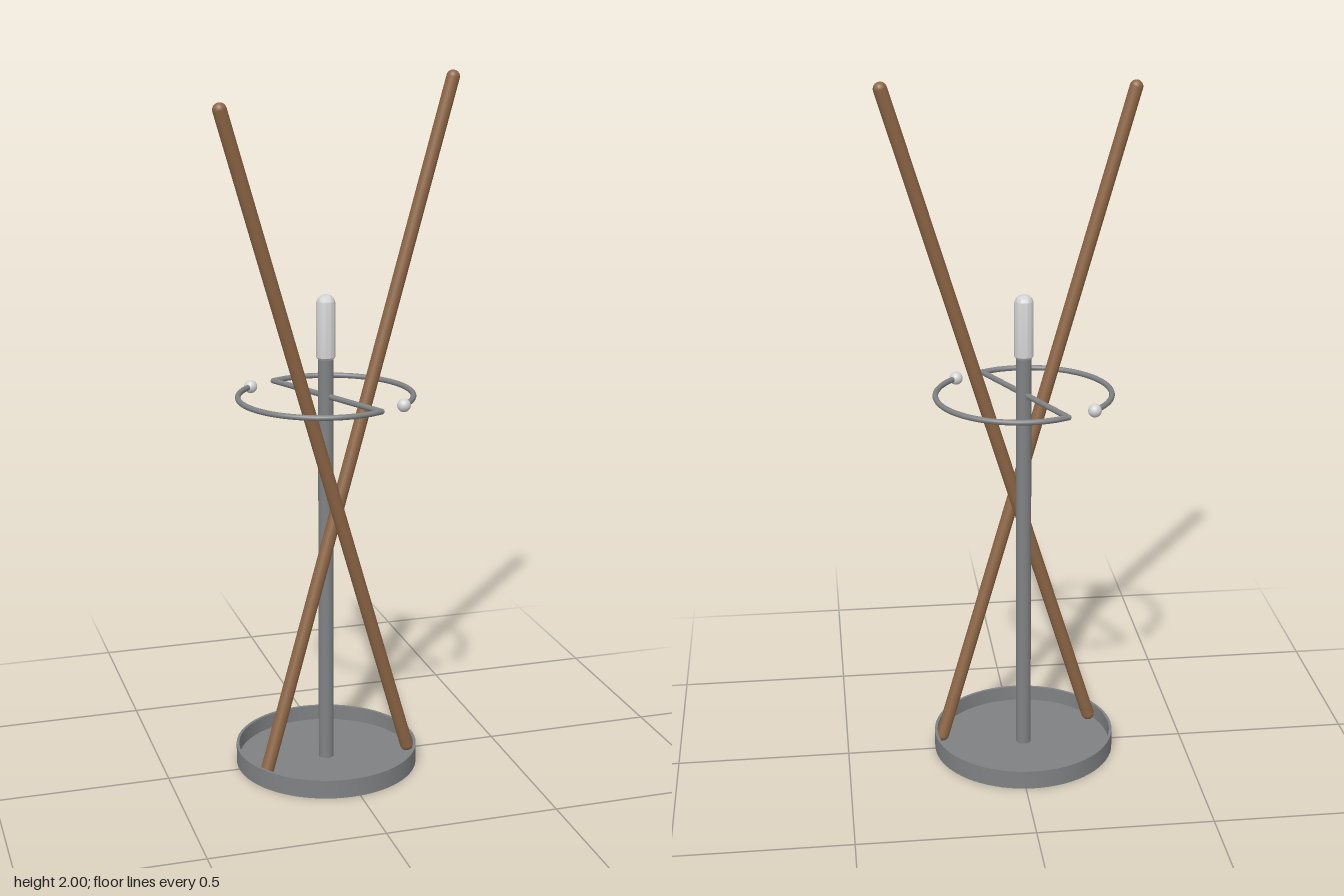
import * as THREE from 'three';
import { toCreasedNormals } from 'three/addons/utils/BufferGeometryUtils.js';

export function createModel() {
  const root = new THREE.Group();
  root.name = 'caneStand';
  const material = (name, color) => {
    const m = new THREE.MeshStandardMaterial({ color });
    m.name = name;
    return m;
  };
  const metal = material('grey metal', 0x7f8183);
  const pale = material('pale grip', 0xd2d2d2);
  const wood = material('brown wood', 0x8d6645);

  const add = (parent, name, geometry, mat, x = 0, y = 0, z = 0) => {
    const mesh = new THREE.Mesh(geometry, mat);
    mesh.name = name;
    mesh.position.set(x, y, z);
    parent.add(mesh);
    return mesh;
  };
  const lathe = (points, segments) => toCreasedNormals(
    new THREE.LatheGeometry(points.map(([r, y]) => new THREE.Vector2(r, y)), segments), 0.6);
  // Round-ended rod between two end centres
  const rod = (parent, name, from, to, radius, mat) => {
    const a = new THREE.Vector3(...from), b = new THREE.Vector3(...to);
    const dir = b.clone().sub(a);
    const mesh = add(parent, name, new THREE.CapsuleGeometry(radius, dir.length(), 8, 24), mat);
    mesh.position.copy(a).add(b).multiplyScalar(0.5);
    mesh.quaternion.setFromUnitVectors(new THREE.Vector3(0, 1, 0), dir.normalize());
    return mesh;
  };

  const stand = new THREE.Group();
  stand.name = 'stand';
  stand.position.x = -0.024;
  root.add(stand);

  // Shallow tray with a thin rim
  add(stand, 'tray', lathe([
    [0, 0], [0.265, 0], [0.265, 0.055], [0.257, 0.055], [0.257, 0.01], [0, 0.01],
  ], 72), metal);

  // Central pole and rounded grip
  add(stand, 'pole', new THREE.CylinderGeometry(0.022, 0.022, 1.22, 32), metal, 0, 0.615, 0);
  const grip = [[0, 1.215], [0.022, 1.215], [0.027, 1.222], [0.027, 1.373]];
  for (let i = 1; i <= 8; i++) {
    const t = (i / 8) * Math.PI / 2;
    grip.push([0.027 * Math.cos(t), 1.373 + 0.027 * Math.sin(t)]);
  }
  add(stand, 'grip', lathe(grip, 32), pale);

  // Two opposed hooks: spoke from the pole, arc, and ball tip
  const cx = 0.0145, cz = -0.0055, R = 0.2345, tube = 0.008;
  const startAngle = Math.atan2(0.212 + cz, -0.096 - cx);
  const endAngle = Math.atan2(-0.162 + cz, 0.174 - cx);
  const pointAt = (a) => new THREE.Vector3(cx + R * Math.cos(a), 0, cz - R * Math.sin(a));
  const path = [];
  for (let i = 0; i <= 16; i++) {
    path.push(pointAt(startAngle + (endAngle - startAngle) * i / 16));
  }
  const arc = new THREE.TubeGeometry(new THREE.CatmullRomCurve3(path), 64, tube, 12, false);
  for (let i = 0; i < 2; i++) {
    const hook = new THREE.Group();
    hook.name = i ? 'frontHook' : 'backHook';
    hook.position.y = 1.11;
    hook.rotation.y = i * Math.PI;
    stand.add(hook);
    rod(hook, 'spoke', [0, 0, 0], path[0].toArray(), tube, metal);
    add(hook, 'arc', arc, metal);
    add(hook, 'ballTip', new THREE.SphereGeometry(0.019, 24, 16), pale, ...path[16].toArray());
  }

  // Crossed walking sticks
  rod(root, 'leftStick', [-0.237, 0.028, 0.111], [0.361, 1.981, -0.055], 0.019, wood);
  rod(root, 'rightStick', [0.216, 0.028, 0.032], [-0.363, 1.933, 0.197], 0.019, wood);

  return root;
}
